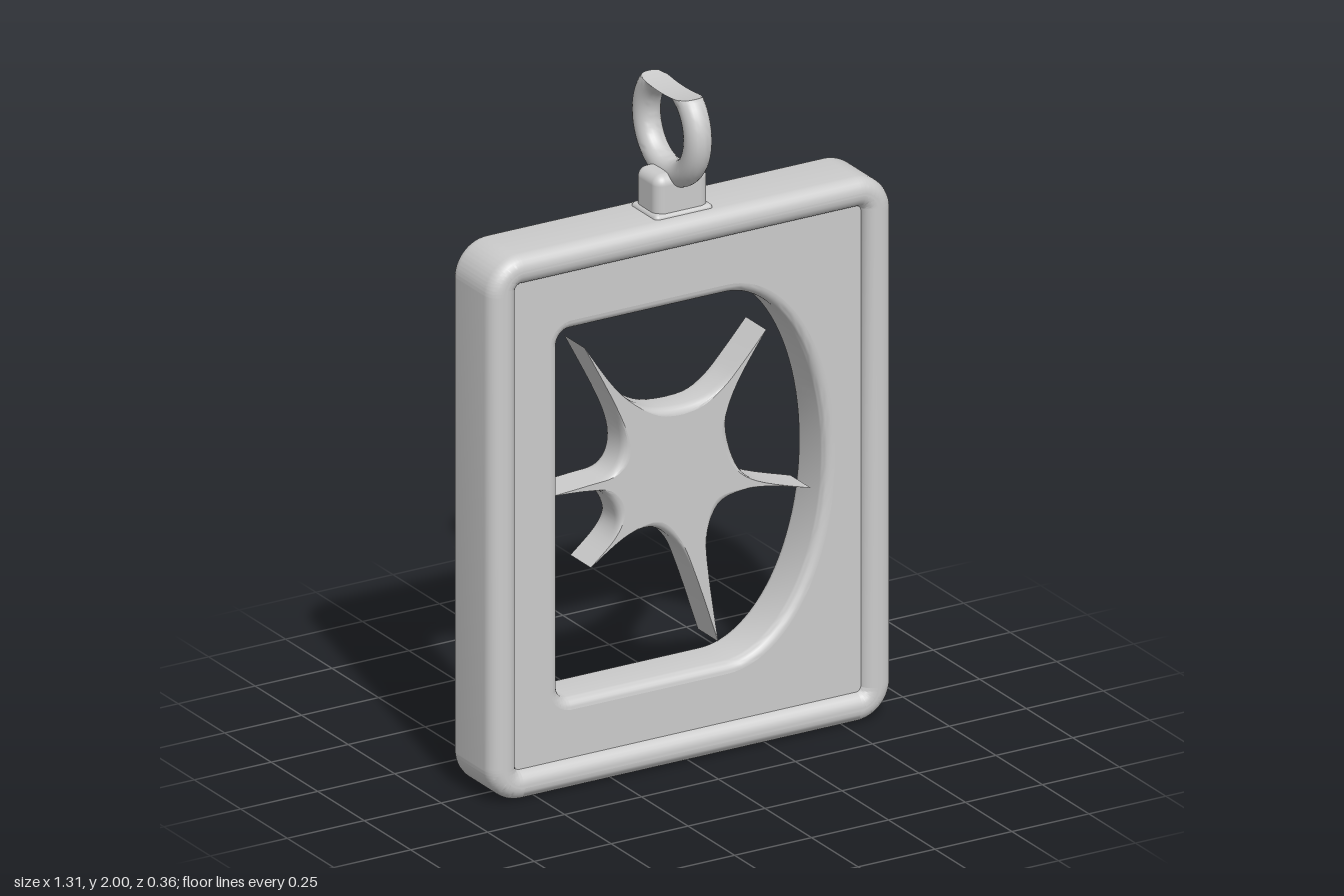
import * as THREE from 'three';
import { toCreasedNormals } from 'three/addons/utils/BufferGeometryUtils.js';
import { RoundedBoxGeometry } from 'three/addons/geometries/RoundedBoxGeometry.js';

const material = new THREE.MeshStandardMaterial({ color: 0xcccccc });

function addMesh(group, name, geometry, y = 0) {
  const mesh = new THREE.Mesh(geometry, material);
  mesh.name = name;
  mesh.position.y = y;
  group.add(mesh);
}

// Smooth rounded edges, but keep the front and back faces truly flat
function smoothWithFlatFaces(source) {
  const geometry = toCreasedNormals(source, 0.6);
  const { position, normal } = geometry.attributes;
  for (let i = 0; i < position.count; i += 3) {
    const z = position.getZ(i);
    if (Math.abs(position.getZ(i + 1) - z) + Math.abs(position.getZ(i + 2) - z) > 1e-6) continue;
    for (let k = 0; k < 3; k++) normal.setXYZ(i + k, 0, 0, Math.sign(z));
  }
  return geometry;
}

function roundedRect(target, x0, y0, x1, y1, r) {
  target.moveTo(x0 + r, y0);
  target.lineTo(x1 - r, y0);
  target.absarc(x1 - r, y0 + r, r, -Math.PI / 2, 0);
  target.lineTo(x1, y1 - r);
  target.absarc(x1 - r, y1 - r, r, 0, Math.PI / 2);
  target.lineTo(x0 + r, y1);
  target.absarc(x0 + r, y1 - r, r, Math.PI / 2, Math.PI);
  target.lineTo(x0, y0 + r);
  target.absarc(x0 + r, y0 + r, r, Math.PI, Math.PI * 1.5);
  return target;
}

// Slab centred on z = 0, rounded inwards from the drawn outline
function slab(shape, thickness, bevel) {
  const geometry = new THREE.ExtrudeGeometry(shape, {
    depth: thickness - 2 * bevel, curveSegments: 24, bevelEnabled: true,
    bevelThickness: bevel, bevelSize: bevel, bevelOffset: -bevel, bevelSegments: 6,
  });
  geometry.translate(0, 0, -thickness / 2 + bevel);
  return smoothWithFlatFaces(geometry);
}

// D-shaped opening: square left side, half-ellipse right side
function openingPath() {
  const p = new THREE.Path();
  const r = 0.04, left = -0.415, low = 0.26, high = 1.37;
  p.moveTo(left + r, low);
  p.lineTo(0.13, low);
  p.absellipse(0.13, (low + high) / 2, 0.32, (high - low) / 2, -Math.PI / 2, Math.PI / 2);
  p.lineTo(left + r, high);
  p.absarc(left + r, high - r, r, Math.PI / 2, Math.PI);
  p.lineTo(left, low + r);
  p.absarc(left + r, low + r, r, Math.PI, Math.PI * 1.5);
  return p;
}

// Spiky star: each curve runs tip to tip; the edge rounding fades out at the tips
function starGeometry() {
  const tips = [[-0.317, 1.295], [0.273, 1.225], [0.418, 0.718], [0.117, 0.32], [-0.297, 0.63], [-0.418, 0.871]];
  const valleys = [
    [[-0.22, 1.155], [-0.14, 1.085], [-0.06, 1.055], [0.06, 1.055], [0.14, 1.09], [0.2, 1.145]],
    [[0.195, 1.11], [0.16, 1.03], [0.15, 0.96], [0.17, 0.87], [0.205, 0.805], [0.27, 0.765]],
    [[0.29, 0.75], [0.2, 0.752], [0.125, 0.725], [0.085, 0.635], [0.088, 0.52]],
    [[0.05, 0.515], [-0.005, 0.63], [-0.085, 0.7], [-0.185, 0.695]],
    [[-0.22, 0.7], [-0.205, 0.765], [-0.25, 0.84], [-0.32, 0.862]],
    [[-0.31, 0.878], [-0.235, 0.888], [-0.195, 0.935], [-0.19, 1.01], [-0.225, 1.115]],
  ];
  const centre = new THREE.Vector2(-0.01, 0.88), steps = 28, half = 0.055, bevel = 0.025;
  const outline = [], fade = [];
  valleys.forEach((valley, t) => {
    const points = [tips[t], ...valley, tips[(t + 1) % tips.length]];
    const curve = new THREE.SplineCurve(points.map(([x, y]) => new THREE.Vector2(x, y)));
    for (let i = 0; i < steps; i++) {
      outline.push(curve.getPoint(i / steps));
      fade.push(Math.sin(Math.PI * i / steps) ** 2);
    }
  });
  outline.reverse(); // counter-clockwise
  fade.reverse();

  // Rings of [inset, z] from back face to front face
  const back = [0, 1, 2, 3, 4].map((k) => {
    const a = k * Math.PI / 8;
    return [bevel * (1 - Math.sin(a)), -half + bevel * (1 - Math.cos(a))];
  });
  const rings = [...back, ...back.map(([inset, z]) => [inset, -z]).reverse()];
  const n = outline.length, positions = [], index = [];
  for (const [inset, z] of rings) {
    outline.forEach((p, i) => {
      const d = centre.clone().sub(p).setLength(inset * fade[i]);
      positions.push(p.x + d.x, p.y + d.y, z);
    });
  }
  for (let k = 0; k < rings.length - 1; k++) {
    for (let i = 0; i < n; i++) {
      const a = k * n + i, b = k * n + (i + 1) % n;
      index.push(a, b, b + n, a, b + n, a + n);
    }
  }
  const top = (rings.length - 1) * n;
  for (const [a, b, c] of THREE.ShapeUtils.triangulateShape(outline, [])) {
    index.push(a, c, b, top + a, top + b, top + c);
  }
  const geometry = new THREE.BufferGeometry();
  geometry.setAttribute('position', new THREE.Float32BufferAttribute(positions, 3));
  geometry.setIndex(index);
  return smoothWithFlatFaces(geometry);
}

// Hanging ring in the y-z plane, its top cut off with a shallow dip
function ringGeometry() {
  const geometry = new THREE.TorusGeometry(0.138, 0.04, 24, 64);
  geometry.rotateY(Math.PI / 2);
  geometry.translate(0, 1.88, 0);
  const pos = geometry.attributes.position;
  for (let i = 0; i < pos.count; i++) {
    const cut = 2 - 0.014 * Math.max(0, 1 - (pos.getZ(i) / 0.13) ** 2);
    if (pos.getY(i) > cut) pos.setY(i, cut);
  }
  return toCreasedNormals(geometry, 0.6);
}

export function createModel() {
  const model = new THREE.Group();
  model.name = 'framedStarPendant';

  // Raised outer rim
  const rim = roundedRect(new THREE.Shape(), -0.655, 0, 0.655, 1.635, 0.11);
  rim.holes.push(roundedRect(new THREE.Path(), -0.562, 0.088, 0.562, 1.547, 0.015));
  addMesh(model, 'frameRim', slab(rim, 0.226, 0.04));

  // Recessed panel with the opening
  const panel = roundedRect(new THREE.Shape(), -0.61, 0.04, 0.61, 1.595, 0.05);
  panel.holes.push(openingPath());
  addMesh(model, 'framePanel', slab(panel, 0.166, 0.03));

  // Star floating in the opening
  addMesh(model, 'star', starGeometry());

  // Tab with a small flared foot, and the ring
  addMesh(model, 'hangerTab', new RoundedBoxGeometry(0.172, 0.2, 0.124, 5, 0.03), 1.657);
  addMesh(model, 'hangerFoot', new RoundedBoxGeometry(0.19, 0.04, 0.142, 3, 0.015), 1.627);
  addMesh(model, 'hangerRing', ringGeometry());

  return model;
}
